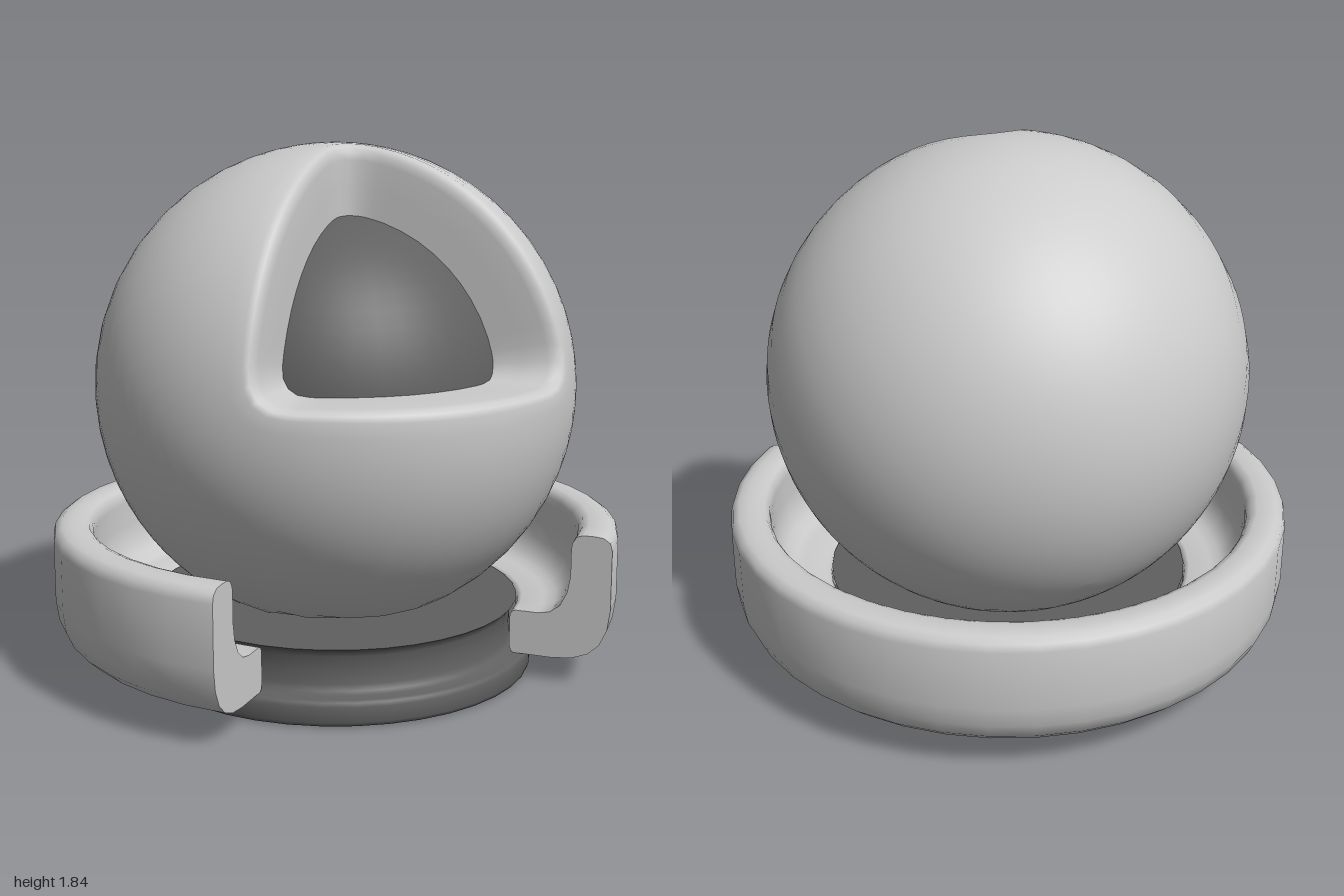
import * as THREE from 'three';
import { toCreasedNormals } from 'three/addons/utils/BufferGeometryUtils.js';

const grey = new THREE.MeshStandardMaterial({ color: 0xcccccc });
const greyThin = new THREE.MeshStandardMaterial({ color: 0xcccccc, side: THREE.DoubleSide });
const dark = new THREE.MeshStandardMaterial({ color: 0x606060 });

const CENTER_Y = 1, RADIUS = 0.84, INNER = 0.605;
const APEX = new THREE.Vector3(0.05, 0.06, 0.05); // corner of the cut-out, from the ball centre
const AXIS = new THREE.Vector3(1, 1, 1).normalize();

function add(parent, name, geometry, material) {
  const mesh = new THREE.Mesh(geometry, material);
  mesh.name = name;
  parent.add(mesh);
  return mesh;
}

const toPoints = list => list.map(([x, y]) => new THREE.Vector2(x, y));

// Directions round an octant with rounded corners, anticlockwise seen from outside
function openingLoop() {
  const dirs = [], round = 0.18, edgeSteps = 14, cornerSteps = 4;
  for (let k = 0; k < 3; k++) {
    const a = k, b = (k + 1) % 3, c = (k + 2) % 3;
    for (let i = 0; i <= edgeSteps; i++) {
      const t = round + (Math.PI / 2 - 2 * round) * i / edgeSteps;
      const v = new THREE.Vector3();
      v.setComponent(a, Math.cos(t)).setComponent(b, Math.sin(t));
      dirs.push(v);
    }
    for (let i = 1; i < cornerSteps; i++) {
      const t = i / cornerSteps, w = Math.tan(round);
      const v = new THREE.Vector3();
      v.setComponent(b, 1).setComponent(a, w * (1 - t) ** 2).setComponent(c, w * t * t);
      dirs.push(v.normalize());
    }
  }
  return dirs;
}

// Point where a ray from the cut-out corner meets a sphere of radius r
function onSphere(dir, r) {
  const d = APEX.dot(dir);
  const s = -d + Math.sqrt(d * d - APEX.lengthSq() + r * r);
  return APEX.clone().addScaledVector(dir, s);
}

// Shell: cut-out wall, rounded rim, then the sphere swept round to the far side
function shellGeometry() {
  const loop = openingLoop(), n = loop.length, sweep = 40;
  const rings = [[0.6, 0], [0.64, 0], [0.7, 0], [0.79, 0], [0.815, 0.006], [0.833, 0.02], [RADIUS, 0.045]];
  const positions = [], index = [];
  const place = (dir, r, bend, k) => {
    const u = onSphere(dir, r).normalize();
    const start = Math.acos(u.dot(AXIS)) + bend;
    const angle = start + (Math.PI - start) * k;
    const side = u.addScaledVector(AXIS, -u.dot(AXIS)).normalize();
    const p = side.multiplyScalar(Math.sin(angle) * r).addScaledVector(AXIS, Math.cos(angle) * r);
    positions.push(p.x, Math.max(p.y, -0.74), p.z); // flat underside
  };
  for (const [r, bend] of rings) loop.forEach(d => place(d, r, bend, 0));
  for (let j = 1; j <= sweep; j++) loop.forEach(d => place(d, RADIUS, 0.045, j / sweep));
  const rows = rings.length + sweep;
  for (let j = 0; j < rows - 1; j++) {
    for (let i = 0; i < n; i++) {
      const a = j * n + i, b = j * n + (i + 1) % n, c = a + n, d = b + n;
      index.push(a, c, d);
      if (j < rows - 2) index.push(a, d, b);
      else index.pop(), index.pop(), index.pop(), index.push(a, c, b);
    }
  }
  const g = new THREE.BufferGeometry();
  g.setAttribute('position', new THREE.Float32BufferAttribute(positions, 3));
  g.setIndex(index);
  g.computeVertexNormals();
  return g;
}

export function createModel() {
  const model = new THREE.Group();
  model.name = 'displayBall';

  // Ball: outer shell with an open octant, and the core seen through it
  const ball = new THREE.Group();
  ball.name = 'ball';
  ball.position.y = CENTER_Y;
  model.add(ball);
  add(ball, 'shell', shellGeometry(), grey);
  add(ball, 'core', new THREE.SphereGeometry(INNER, 40, 28), dark);

  // Base: wide foot with a waisted neck
  const baseProfile = toPoints([
    [0, 0], [0.685, 0], [0.697, 0.005], [0.702, 0.018], [0.702, 0.07], [0.697, 0.083], [0.685, 0.088],
    [0.65, 0.09], [0.637, 0.1], [0.63, 0.12], [0.626, 0.17], [0.63, 0.215], [0.637, 0.235], [0.65, 0.245], [0, 0.245],
  ]);
  add(model, 'base', toCreasedNormals(new THREE.LatheGeometry(baseProfile, 40), 0.9), dark);

  // Ring: J-shaped section swept three quarters of the way round
  const section = toPoints([
    [0.665, 0.09], [0.8, 0.09], [0.87, 0.097], [0.925, 0.118], [0.965, 0.155], [0.99, 0.21], [1, 0.28],
    [1, 0.49], [0.993, 0.517], [0.97, 0.533], [0.94, 0.536], [0.9, 0.536], [0.877, 0.528], [0.863, 0.505],
    [0.86, 0.48], [0.86, 0.39], [0.85, 0.33], [0.825, 0.28], [0.79, 0.253], [0.75, 0.245],
    [0.67, 0.245], [0.655, 0.238], [0.65, 0.22], [0.65, 0.115], [0.655, 0.097],
  ]);
  const ring = new THREE.Group();
  ring.name = 'ring';
  model.add(ring);
  const sweep = new THREE.LatheGeometry([...section, section[0].clone()], 30, Math.PI / 2, Math.PI * 1.5);
  add(ring, 'ringBody', toCreasedNormals(sweep, 0.9), grey);

  // Flat ends where the ring is cut
  const end = new THREE.ShapeGeometry(new THREE.Shape(section));
  add(ring, 'ringEndLeft', end, greyThin);
  add(ring, 'ringEndFront', end, greyThin).rotation.y = -Math.PI / 2;

  return model;
}
